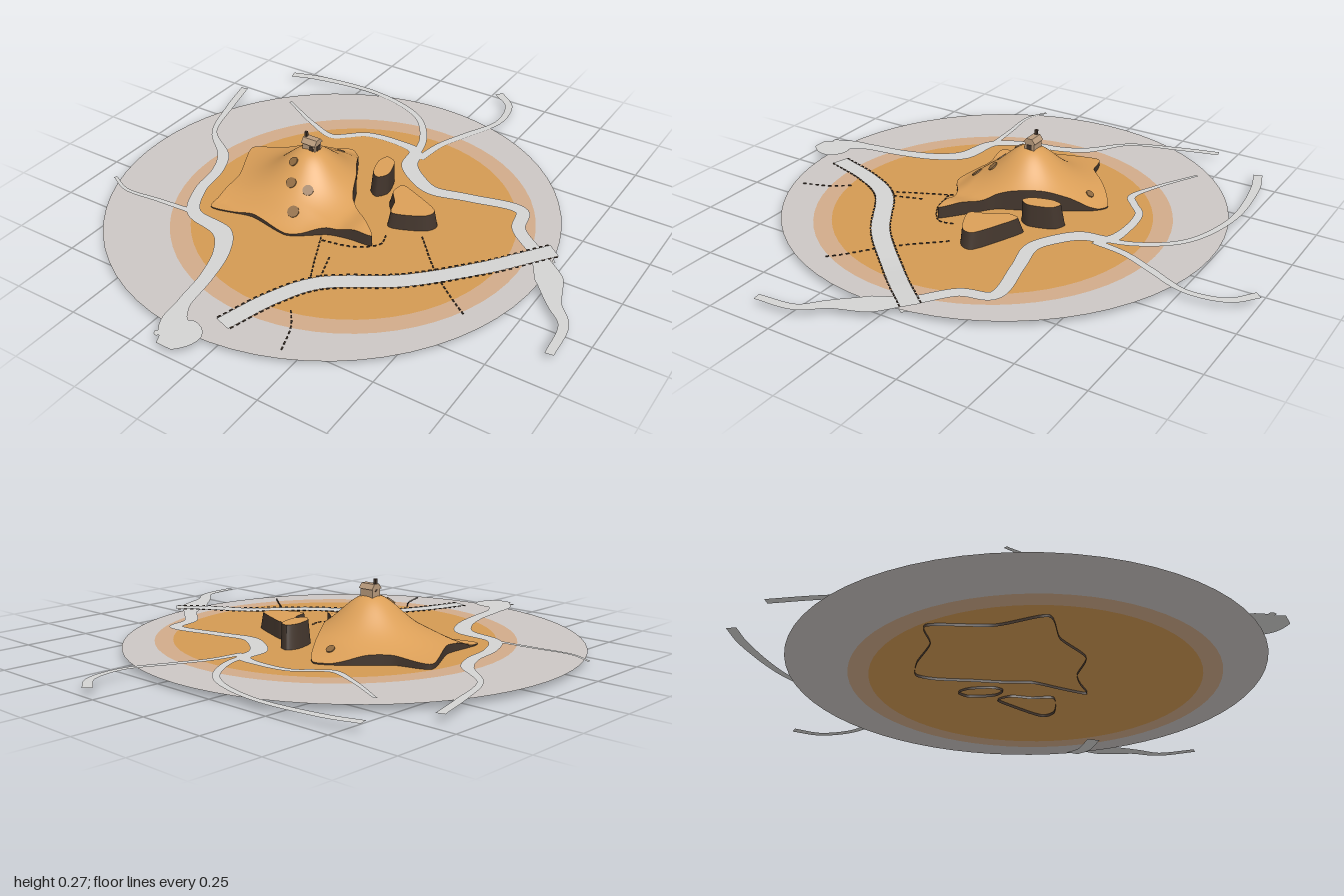
import * as THREE from 'three';

const mat = (name, color, side = THREE.DoubleSide) => {
  const m = new THREE.MeshStandardMaterial({ color, side });
  m.name = name;
  return m;
};

const LEVEL = 0.022;      // ground plane
const SKIRT = 0.012;      // cliffs reach slightly below the ground
const PEAK = [-0.22, 0.03];

export function createModel() {
  const model = new THREE.Group();
  const gray = mat('paleGray', 0xccc7c4);
  const tan = mat('paleTan', 0xd1ab8a);
  const sand = mat('sandOrange', 0xd39a53);
  const hillMat = mat('hillOrange', 0xdb9f58);
  const water = mat('waterGray', 0xd3d3d2);
  const rock = mat('darkRock', 0x43362d);
  const spotMat = mat('brownSpot', 0x8f6a40);
  const wall = mat('houseWall', 0xb89a7c);

  const add = (name, geo, material) => {
    const mesh = new THREE.Mesh(geo, material);
    mesh.name = name;
    model.add(mesh);
    return mesh;
  };
  const buffer = (pos, idx) => {
    const g = new THREE.BufferGeometry();
    g.setAttribute('position', new THREE.Float32BufferAttribute(pos, 3));
    g.setIndex(idx);
    g.computeVertexNormals();
    return g;
  };
  const smooth = THREE.MathUtils.smoothstep;

  // Ground: concentric flat zones
  const zone = (name, outer, inner, material) => {
    const circle = (path, [x, z, r]) => path.absarc(x, -z, r, 0, Math.PI * 2);
    const shape = circle(new THREE.Shape(), outer);
    if (inner) shape.holes.push(circle(new THREE.Path(), inner));
    const g = new THREE.ShapeGeometry(shape, 32).rotateX(-Math.PI / 2);
    add(name, g.translate(0, LEVEL, 0), material);
  };
  const outerZone = [-0.1, 0.07, 0.83], midZone = [-0.015, 0.067, 0.66], coreZone = [-0.01, 0.067, 0.59];
  zone('outerGround', outerZone, midZone, gray);
  zone('middleGround', midZone, coreZone, tan);
  zone('innerGround', coreZone, null, sand);

  // Closed outline sampled from a few [x, z] points
  const outline = (pts, n, tension) => {
    const c = new THREE.CatmullRomCurve3(pts.map(([x, z]) => new THREE.Vector3(x, 0, z)), true, 'catmullrom', tension);
    return c.getPoints(n).slice(0, n);
  };
  // Band of wall between two closed loops of points
  const band = (low, high) => {
    const pos = [], idx = [], n = low.length;
    for (let i = 0; i <= n; i++) {
      const a = low[i % n], b = high[i % n];
      pos.push(a.x, a.y, a.z, b.x, b.y, b.z);
      if (i < n) idx.push(2 * i, 2 * i + 1, 2 * i + 2, 2 * i + 1, 2 * i + 3, 2 * i + 2);
    }
    return buffer(pos, idx);
  };

  // Hill: star-shaped footprint around a rounded peak
  const height = (x, z) => {
    const r = Math.hypot(x - PEAK[0], z - PEAK[1]);
    let h = 0.02 + 0.19 / (1 + Math.pow(r / 0.15, 2.4));
    h += 0.03 * smooth(x, 0, 0.1);
    h -= 0.022 * smooth(z, 0.2, 0.3) * (1 - smooth(x, -0.1, 0.02));
    h -= 0.025 * smooth(-z, 0.17, 0.28);
    return Math.max(h, 0.027);
  };
  const foot = outline([
    [-0.25, -0.285], [-0.19, -0.24], [-0.12, -0.12], [-0.07, -0.04], [-0.02, 0.06], [0.07, 0.13], [0.15, 0.2],
    [0.06, 0.21], [-0.02, 0.23], [-0.14, 0.31], [-0.31, 0.285], [-0.475, 0.315],
    [-0.485, 0.13], [-0.575, -0.07], [-0.45, -0.12], [-0.34, -0.23],
  ], 128, 0.35);
  const rings = 28, n = foot.length, pos = [], idx = [];
  for (let j = 0; j <= rings; j++) {
    for (let i = 0; i <= n; i++) {
      const p = foot[i % n], t = j / rings;
      const x = PEAK[0] + (p.x - PEAK[0]) * t, z = PEAK[1] + (p.z - PEAK[1]) * t;
      pos.push(x, height(x, z), z);
      if (j < rings && i < n) {
        const a = j * (n + 1) + i, b = a + n + 1;
        if (j > 0) idx.push(a, a + 1, b);
        idx.push(a + 1, b + 1, b);
      }
    }
  }
  add('hill', buffer(pos, idx), hillMat);
  add('hillCliff', band(
    foot.map((p) => new THREE.Vector3(p.x, SKIRT, p.z)),
    foot.map((p) => new THREE.Vector3(p.x, height(p.x, p.z), p.z)),
  ), rock);

  // Mesas: dark leaning walls with a flat sandy top
  const mesa = (name, pts, top) => {
    const low = outline(pts, 40, 0.4).map((p) => p.setY(SKIRT));
    const c = low.reduce((s, p) => s.add(p), new THREE.Vector3()).divideScalar(low.length);
    const high = low.map((p) => new THREE.Vector3(
      c.x + 0.008 + (p.x - c.x) * 0.84, top, c.z + 0.004 + (p.z - c.z) * 0.88));
    add(name + 'Wall', band(low, high), rock);
    const cap = new THREE.ShapeGeometry(new THREE.Shape(high.map((p) => new THREE.Vector2(p.x, -p.z))));
    add(name + 'Top', cap.rotateX(-Math.PI / 2).translate(0, top, 0), hillMat);
  };
  mesa('smallMesa', [[-0.05, -0.22], [0, -0.2], [0.028, -0.11], [0, -0.065], [-0.04, -0.09], [-0.065, -0.17]], 0.108);
  mesa('largeMesa', [[0.07, -0.12], [0.14, -0.1], [0.28, -0.035], [0.265, 0.025], [0.14, 0.075], [0.105, 0], [0.06, -0.06]], 0.083);

  // Flat ribbons through [x, z, width, y]
  const ribbon = (name, pts, material, steps = 70) => {
    const path = new THREE.CatmullRomCurve3(pts.map(([x, z, , y = 0.027]) => new THREE.Vector3(x, y, z)), false, 'centripetal');
    const v = [], f = [];
    for (let i = 0; i <= steps; i++) {
      const u = i / steps, p = path.getPoint(u), t = path.getTangent(u);
      const k = u * (pts.length - 1), a = Math.min(Math.floor(k), pts.length - 2);
      const w = THREE.MathUtils.lerp(pts[a][2], pts[a + 1][2], k - a) / 2;
      const l = Math.hypot(t.x, t.z) || 1, sx = -t.z / l * w, sz = t.x / l * w;
      v.push(p.x - sx, p.y, p.z - sz, p.x + sx, p.y, p.z + sz);
      if (i < steps) f.push(2 * i, 2 * i + 2, 2 * i + 1, 2 * i + 1, 2 * i + 2, 2 * i + 3);
    }
    const g = buffer(v, f);
    // keep upward normals so both windings shade alike
    if (g.attributes.normal.getY(0) < 0) {
      g.setIndex(f.reverse());
      g.computeVertexNormals();
    }
    add(name, g, material);
  };
  ribbon('eastRiver', [
    [-0.67, -0.46, 0.012], [-0.5, -0.37, 0.02], [-0.37, -0.325, 0.03], [-0.32, -0.36, 0.03], [-0.26, -0.41, 0.03],
    [-0.12, -0.425, 0.035], [-0.03, -0.405, 0.05], [0, -0.31, 0.065], [0.08, -0.24, 0.06], [0.16, -0.205, 0.055],
    [0.3, -0.235, 0.05], [0.5, -0.265, 0.05], [0.54, -0.16, 0.05], [0.66, -0.06, 0.05],
    [0.75, 0.04, 0.1], [0.82, 0.15, 0.05], [0.89, 0.23, 0.035], [0.91, 0.38, 0.03],
  ], water, 140);
  ribbon('northWestStream', [
    [-0.8, -0.66, 0.035], [-0.68, -0.695, 0.035], [-0.39, -0.715, 0.025], [-0.16, -0.64, 0.025], [-0.05, -0.5, 0.03], [-0.01, -0.35, 0.035],
  ], water);
  ribbon('northStream', [
    [0.04, -0.99, 0.035], [0.12, -0.92, 0.03], [0.145, -0.78, 0.025], [0.08, -0.62, 0.03], [0.03, -0.5, 0.03], [0.01, -0.37, 0.035],
  ], water);
  ribbon('westRiver', [
    [-0.905, -0.45, 0.03], [-0.86, -0.29, 0.03], [-0.79, -0.1, 0.02], [-0.65, 0.02, 0.045], [-0.6, 0.12, 0.045], [-0.575, 0.25, 0.045],
    [-0.5, 0.38, 0.05], [-0.34, 0.42, 0.07], [-0.27, 0.51, 0.06], [-0.225, 0.65, 0.05], [-0.2, 0.8, 0.05],
    [-0.17, 0.88, 0.09], [-0.12, 0.92, 0.16], [-0.12, 0.99, 0.06],
  ], water, 110);
  ribbon('westStream', [[-0.9, 0.36, 0.012], [-0.81, 0.4, 0.015], [-0.66, 0.39, 0.02], [-0.52, 0.38, 0.025]], water);

  // Road, raised where it crosses the river
  const road = [[-0.03, 0.81], [0.03, 0.62], [0.11, 0.48], [0.35, 0.31], [0.53, 0.12], [0.62, 0.02], [0.71, -0.09]];
  const roadY = [0.029, 0.029, 0.029, 0.029, 0.029, 0.038, 0.044];
  ribbon('road', road.map(([x, z], i) => [x, z, 0.065, roadY[i]]), water);
  ribbon('bridgeUnderside', [[0.56, 0.07, 0.05, 0.002], [0.64, 0, 0.05, 0], [0.71, -0.08, 0.05, 0.018]], water, 20);

  // Dashed dark lines: road edges and footpaths
  const dashes = (name, pts, offset = 0, y = 0.03) => {
    const path = new THREE.CatmullRomCurve3(pts.map(([x, z]) => new THREE.Vector3(x, y, z)), false, 'centripetal');
    const group = new THREE.Group();
    group.name = name;
    const count = Math.round(path.getLength() / 0.024);
    const geo = new THREE.BoxGeometry(0.012, 0.003, 0.005);
    for (let i = 0; i < count; i++) {
      const u = (i + 0.5) / count, p = path.getPointAt(u), t = path.getTangentAt(u);
      const d = new THREE.Mesh(geo, rock);
      d.name = 'dash';
      d.position.set(p.x - t.z * offset, y + 0.014 * smooth(p.x, 0.53, 0.7), p.z + t.x * offset);
      d.rotation.y = -Math.atan2(t.z, t.x);
      group.add(d);
    }
    model.add(group);
  };
  for (const s of [-1, 1]) dashes('roadEdge', road, s * 0.035);
  dashes('southPath', [[-0.03, 0.25], [0.04, 0.4], [0.09, 0.5]], 0, 0.025);
  dashes('southFork', [[0.11, 0.63], [0.16, 0.7], [0.2, 0.81]], 0, 0.025);
  dashes('shortPath', [[0.06, 0.33], [0.1, 0.45]], 0, 0.025);
  dashes('eastPath', [[0.27, 0.06], [0.42, 0.22], [0.6, 0.36]], 0, 0.025);
  dashes('hillPath', [[-0.02, 0.27], [0.1, 0.24], [0.17, 0.18], [0.16, 0.12]], 0, 0.025);

  // Brown patches lying on the hill slope
  for (const [x, z, r] of [[-0.25, -0.21, 0.016], [-0.22, 0.16, 0.02], [-0.15, 0.155, 0.02], [-0.16, 0.235, 0.022], [-0.25, 0.1, 0.018]]) {
    const e = 0.01;
    const normal = new THREE.Vector3(
      height(x - e, z) - height(x + e, z), 2 * e, height(x, z - e) - height(x, z + e)).normalize();
    const spot = add('slopePatch', new THREE.CylinderGeometry(r, r, 0.006, 14), spotMat);
    spot.position.set(x, height(x, z) + 0.001, z);
    spot.quaternion.setFromUnitVectors(new THREE.Vector3(0, 1, 0), normal);
  }

  // Summit house with gabled roof and chimney
  const house = add('house', new THREE.BoxGeometry(0.055, 0.04, 0.04), wall);
  house.position.set(-0.222, 0.213, 0.022);
  const gable = new THREE.Shape([[-0.026, 0], [0.026, 0], [0.012, 0.018], [-0.012, 0.018]].map((p) => new THREE.Vector2(...p)));
  const roof = add('roof', new THREE.ExtrudeGeometry(gable, { depth: 0.06, bevelEnabled: false }).translate(0, 0, -0.03).rotateY(Math.PI / 2), wall);
  roof.position.set(-0.222, 0.232, 0.022);
  const chimney = add('chimney', new THREE.BoxGeometry(0.01, 0.045, 0.01), rock);
  chimney.position.set(-0.245, 0.246, 0.022);
  const door = add('door', new THREE.BoxGeometry(0.016, 0.026, 0.004), rock);
  door.position.set(-0.21, 0.212, 0.043);
  const sideDoor = add('sideDoor', new THREE.BoxGeometry(0.004, 0.026, 0.02), rock);
  sideDoor.position.set(-0.194, 0.212, 0.022);

  return model;
}
